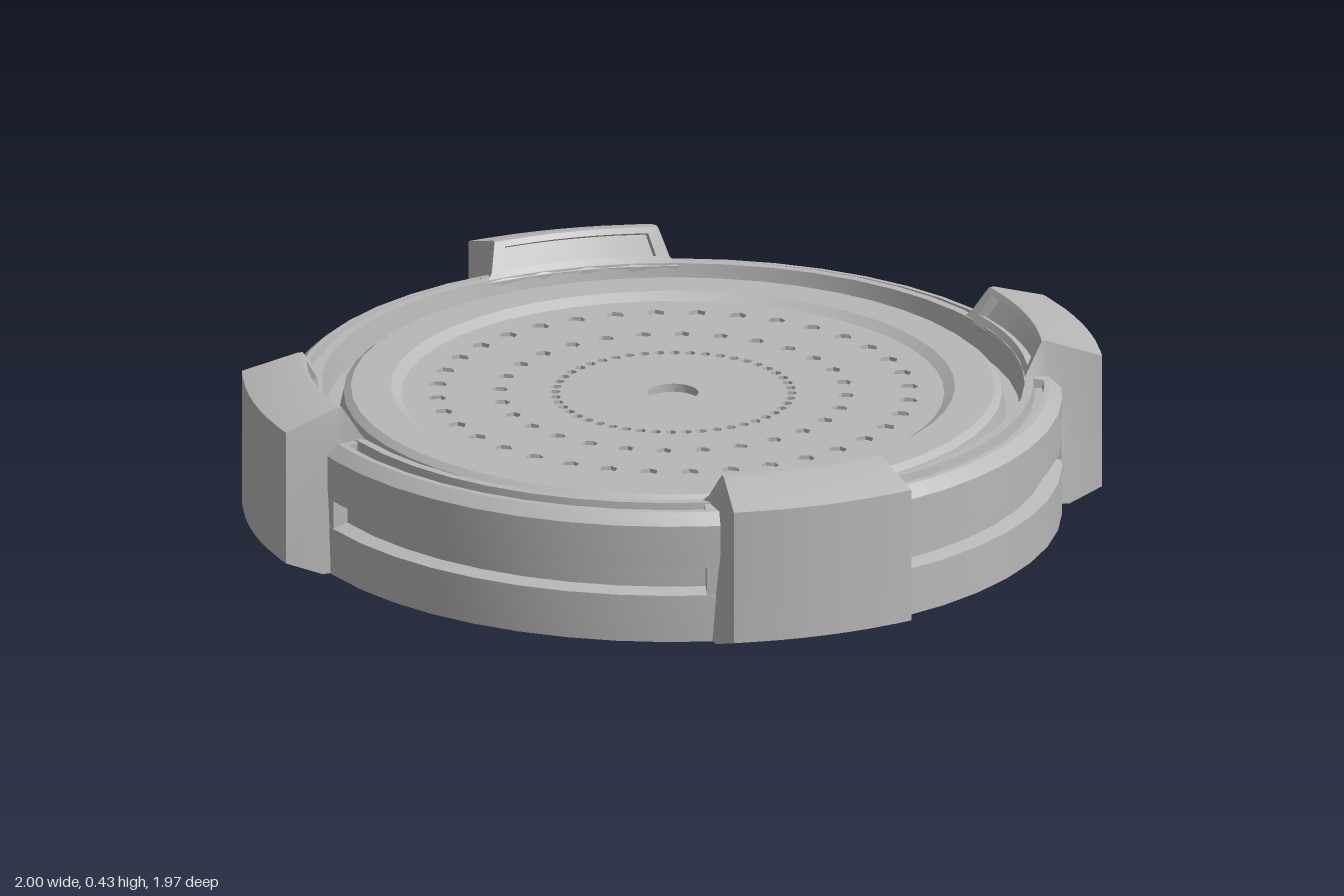
import * as THREE from 'three';
import { toCreasedNormals } from 'three/addons/utils/BufferGeometryUtils.js';

const SEGMENTS = 48;
const CLAMP_ANGLES = [-121.4, -33.8, 53.3, 150.7]; // degrees from +x towards +z
const metal = new THREE.MeshStandardMaterial({ color: 0xb8b8b8 });
metal.name = 'grey metal';

function mesh(name, geometry) {
  const m = new THREE.Mesh(toCreasedNormals(geometry, 0.4), metal);
  m.name = name;
  return m;
}

// Skin a row of closed loops and cap both ends
function loft(loops) {
  const pos = [];
  const ab = new THREE.Vector3(), ac = new THREE.Vector3();
  const tri = (a, b, c) => {
    ab.subVectors(b, a);
    ac.subVectors(c, a);
    if (ab.cross(ac).length() < 1e-8) return;
    for (const p of [a, b, c]) pos.push(p.x, p.y, p.z);
  };
  const n = loops[0].length;
  for (let s = 0; s < loops.length - 1; s++) {
    for (let j = 0; j < n; j++) {
      const k = (j + 1) % n;
      const [a, b, c, d] = [loops[s][j], loops[s][k], loops[s + 1][j], loops[s + 1][k]];
      tri(a, b, c);
      tri(b, d, c);
    }
  }
  for (const [loop, last] of [[loops[0], false], [loops[loops.length - 1], true]]) {
    const mid = new THREE.Vector3();
    loop.forEach((p) => mid.addScaledVector(p, 1 / n));
    for (let j = 0; j < n; j++) {
      const k = (j + 1) % n;
      if (last) tri(mid, loop[j], loop[k]);
      else tri(mid, loop[k], loop[j]);
    }
  }
  const g = new THREE.BufferGeometry();
  g.setAttribute('position', new THREE.Float32BufferAttribute(pos, 3));
  return g;
}

// Clamp block: curved outer wall, sloping top, framed window recess on the inner face
function clampGeometry() {
  const stations = [[-1, 0], [-0.86, 0], [-0.86, 0.022]];
  for (const t of [-0.5, -0.25, 0, 0.25, 0.5]) stations.push([t, 0.022]);
  stations.push([0.86, 0.022], [0.86, 0], [1, 0]);
  return loft(stations.map(([t, depth]) => {
    const profile = [ // radius, height, half width
      [0.87, 0.025, 0.248], [0.975, 0.02, 0.247], [1.057, 0.05, 0.233],
      [1.057, 0.39, 0.233], [0.92, 0.435, 0.208], [0.908, 0.435, 0.208],
      [0.9, 0.422, 0.212], [0.9 + depth, 0.422 - depth * 0.5, 0.212],
      [0.873 + depth, 0.372 - depth * 0.5, 0.226], [0.873, 0.372, 0.226],
      [0.86, 0.35, 0.243],
    ];
    return profile.map(([r, y, hw]) => {
      const u = t * hw;
      return new THREE.Vector3(Math.sqrt(r * r - u * u), y, u);
    });
  }));
}

// Solid wall section that ends the rim slots on both sides of a clamp
function shoulderGeometry() {
  const profile = [[0.87, 0.03], [0.954, 0.03], [0.954, 0.319], [0.925, 0.346], [0.87, 0.356]];
  const half = THREE.MathUtils.degToRad(15.8);
  const loops = [];
  for (let i = 0; i <= 6; i++) {
    const a = half * (i / 3 - 1);
    loops.push(profile.map(([r, y]) => new THREE.Vector3(r * Math.cos(a), y, r * Math.sin(a))));
  }
  return loft(loops);
}

// Main disc with side groove, rim slot, shallow trench and raised ring
function discGeometry() {
  const points = [
    [0, 0.002], [0.955, 0.02],
    [0.955, 0.14], [0.915, 0.15], [0.915, 0.2], [0.955, 0.212],
    [0.955, 0.32], [0.925, 0.347],
    [0.911, 0.348], [0.908, 0.328], [0.888, 0.328], [0.885, 0.357],
    [0.863, 0.357], [0.852, 0.285], [0.818, 0.285],
    [0.808, 0.332], [0.79, 0.346], [0.692, 0.346], [0.666, 0.329],
    [0.664, 0.319], [0.063, 0.319], [0.063, 0.308], [0, 0.308],
  ];
  return new THREE.LatheGeometry(points.map(([x, y]) => new THREE.Vector2(x, y)), SEGMENTS);
}

// Dish plate pierced by three rings of small shallow holes and one central hole
function plateGeometry() {
  const shape = new THREE.Shape().absarc(0, 0, 0.667, 0, Math.PI * 2);
  const addHole = (x, y, r, sides, turn) => {
    const pts = [];
    for (let i = 0; i < sides; i++) {
      const a = turn - (i / sides) * Math.PI * 2;
      pts.push(new THREE.Vector2(x + r * Math.cos(a), y + r * Math.sin(a)));
    }
    shape.holes.push(new THREE.Path(pts));
  };
  for (const [ring, count, size] of [[0.58, 36, 0.023], [0.425, 28, 0.02], [0.29, 48, 0.014]]) {
    for (let i = 0; i < count; i++) {
      const a = (i / count) * Math.PI * 2;
      addHole(ring * Math.cos(a), ring * Math.sin(a), size, 6, a);
    }
  }
  addHole(0, 0, 0.063, 24, 0);
  const g = new THREE.ExtrudeGeometry(shape, {
    depth: 0.01, bevelEnabled: false, curveSegments: SEGMENTS / 2,
  });
  return g.rotateX(-Math.PI / 2).translate(0, 0.319, 0);
}

export function createModel() {
  const model = new THREE.Group();
  model.name = 'round platform';
  const body = new THREE.Group();
  body.name = 'platform body';
  body.position.set(0.012, 0, 0.014);
  model.add(body);

  body.add(mesh('disc', discGeometry()), mesh('perforatedPlate', plateGeometry()));

  // Four clamps around the rim
  const clampShape = clampGeometry();
  const shoulderShape = shoulderGeometry();
  CLAMP_ANGLES.forEach((degrees) => {
    const clamp = new THREE.Group();
    clamp.name = 'rimClamp';
    clamp.rotation.y = -THREE.MathUtils.degToRad(degrees);
    clamp.add(mesh('clampBlock', clampShape), mesh('clampShoulder', shoulderShape));
    body.add(clamp);
  });
  return model;
}
